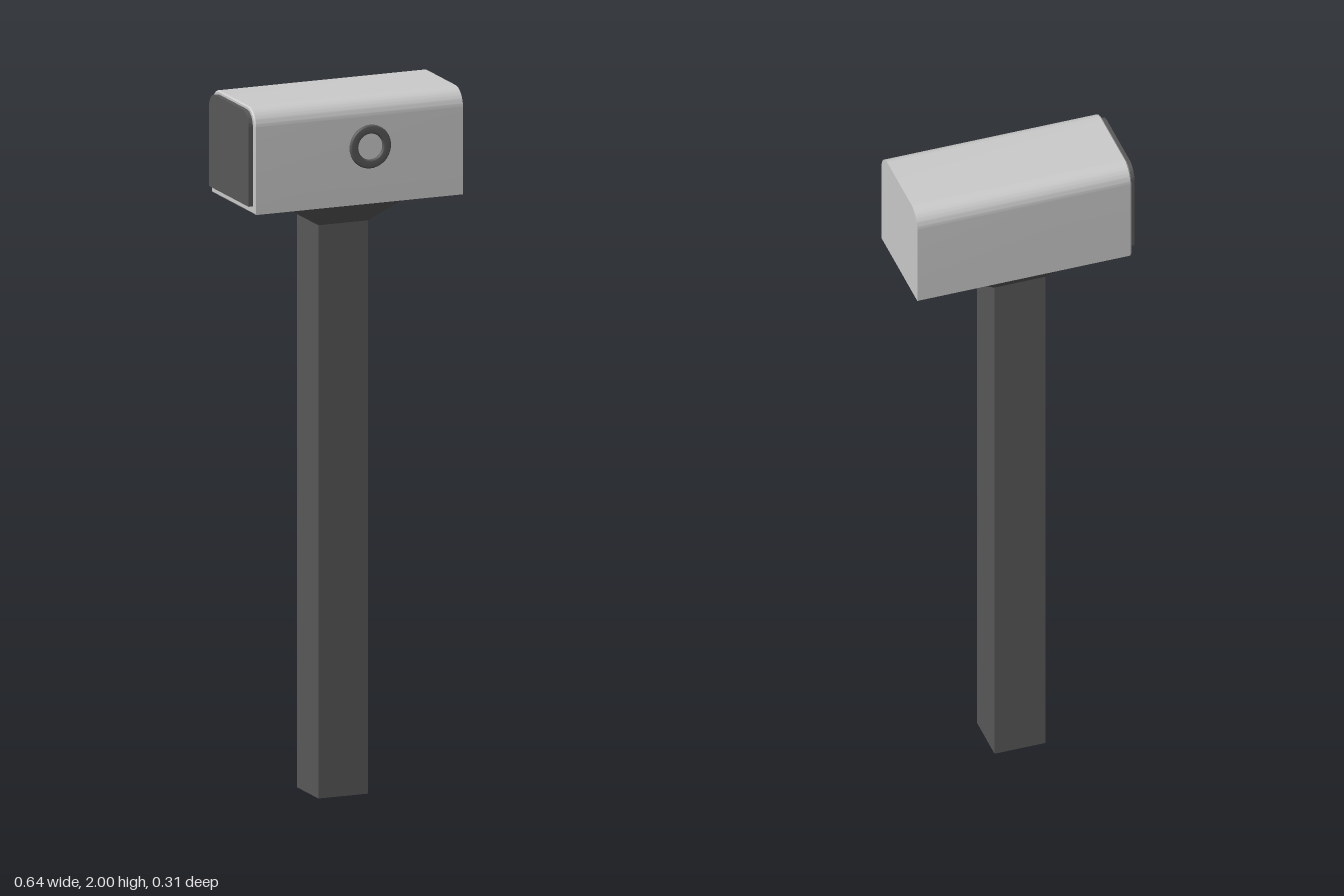
import * as THREE from 'three';
import { toCreasedNormals } from 'three/addons/utils/BufferGeometryUtils.js';

const CENTER_Z = -0.005;
const grey = new THREE.MeshStandardMaterial({ color: 0xcccccc });
const dark = new THREE.MeshStandardMaterial({ color: 0x595959 });

// Upright rectangle with only its top corners rounded
function archShape(width, bottom, top, radius) {
  const w = width / 2;
  const s = new THREE.Shape();
  s.moveTo(-w, bottom);
  s.lineTo(w, bottom);
  s.lineTo(w, top - radius);
  s.absarc(w - radius, top - radius, radius, 0, Math.PI / 2);
  s.lineTo(-w + radius, top);
  s.absarc(-w + radius, top - radius, radius, Math.PI / 2, Math.PI);
  s.closePath();
  return s;
}

// Extrude an outline along x, from x0 to x1
function extrudeX(shape, x0, x1, bevel = 0) {
  const geo = new THREE.ExtrudeGeometry(shape, {
    depth: x1 - x0 - 2 * bevel, curveSegments: 10,
    bevelEnabled: bevel > 0, bevelSize: bevel, bevelThickness: bevel, bevelOffset: -bevel, bevelSegments: 1,
  });
  geo.translate(0, 0, x0 + bevel).rotateY(Math.PI / 2).translate(0, 0, CENTER_Z);
  return toCreasedNormals(geo, 0.4);
}

export function createModel() {
  const model = new THREE.Group();
  model.name = 'mallet';
  const add = (name, geo, mat, x = 0, y = 0, z = 0) => {
    const mesh = new THREE.Mesh(geo, mat);
    mesh.name = name;
    mesh.position.set(x, y, z);
    model.add(mesh);
  };

  // Head block, with a chamfered lip on its right end
  const outline = archShape(0.302, 1.7, 2.0, 0.052);
  add('head', extrudeX(outline, -0.305, 0.32), grey);
  add('headLip', extrudeX(outline, -0.309, -0.3, 0.004), grey);

  // Dark plate on the right end
  add('endPlate', extrudeX(archShape(0.274, 1.722, 1.99, 0.042), -0.322, -0.305), dark);

  // Ring on the front face, with softened edges
  const profile = [
    [0.062, -0.005], [0.062, 0.003], [0.0605, 0.0065], [0.057, 0.008],
    [0.042, 0.008], [0.0385, 0.0065], [0.037, 0.003], [0.037, -0.005],
  ].map(([r, h]) => new THREE.Vector2(r, h));
  const ring = new THREE.LatheGeometry(profile, 40).rotateX(Math.PI / 2);
  add('frontRing', ring, dark, 0.039, 1.863, 0.146);

  // Square handle
  const handleX = -0.006, size = 0.15, neck = 1.632;
  add('handle', new THREE.BoxGeometry(size, neck, size), dark, handleX, neck / 2, CENTER_Z - 0.006);

  // Collar flaring from the handle to the head
  const collar = new THREE.BoxGeometry(size, 1.7 - neck, size);
  const p = collar.attributes.position;
  for (let i = 0; i < p.count; i++) {
    if (p.getY(i) > 0) p.setXYZ(i, p.getX(i) * 2.55, p.getY(i), p.getZ(i) * 1.4);
  }
  collar.computeVertexNormals();
  add('collar', collar, dark, handleX, (1.7 + neck) / 2, CENTER_Z - 0.006);

  return model;
}
